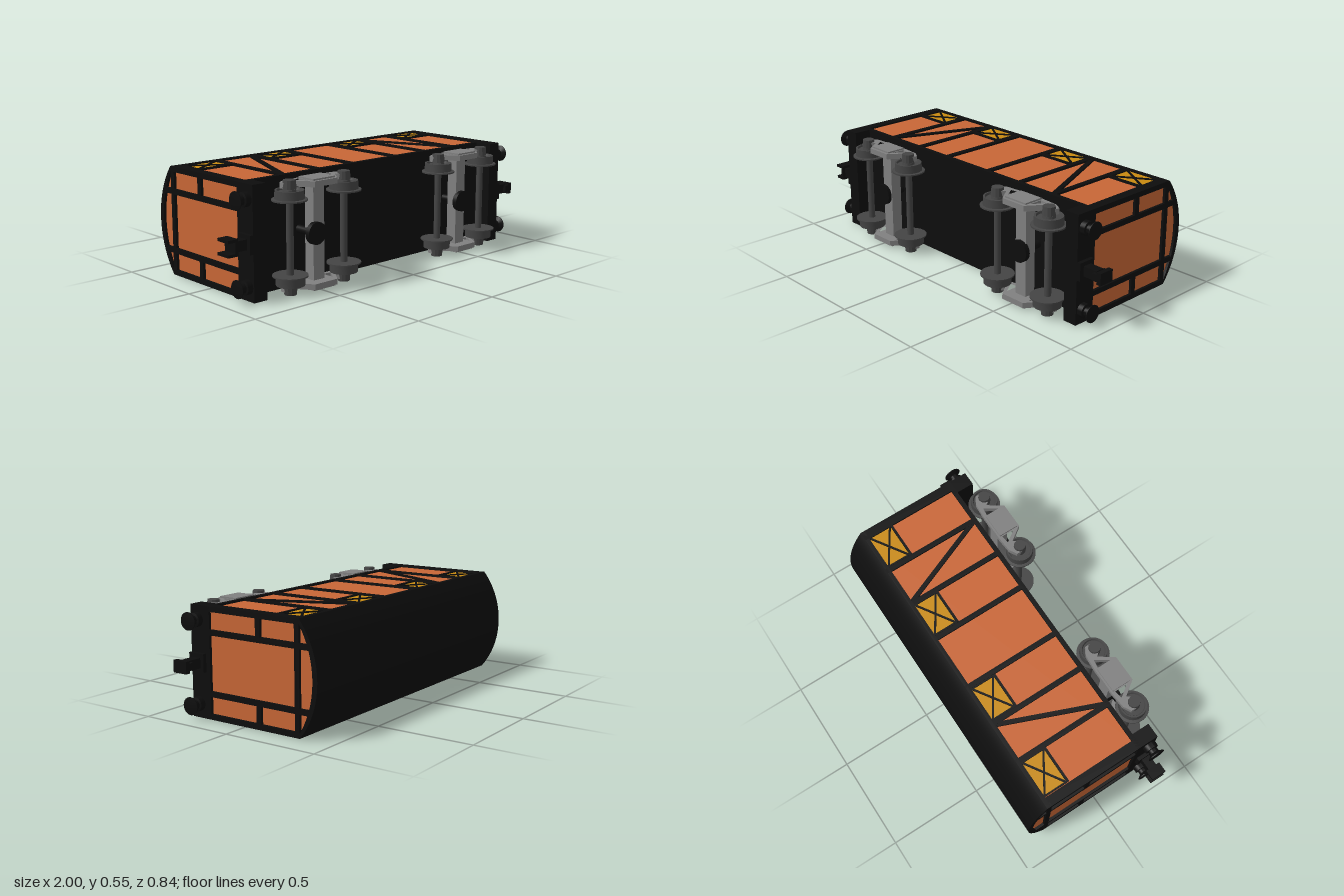
import * as THREE from 'three';
import { toCreasedNormals } from 'three/addons/utils/BufferGeometryUtils.js';

const paint = (color) => new THREE.MeshStandardMaterial({ color });

export function createModel() {
  const black = paint(0x0d0d0d), orange = paint(0xc86636), yellow = paint(0xc88a10);
  const steel = paint(0x808080), iron = paint(0x444444);

  // The wagon is built upright (y up, z across) and then laid on its back.
  const wagon = new THREE.Group();
  wagon.name = 'wagon';

  const add = (parent, name, geometry, material) => {
    const mesh = new THREE.Mesh(geometry, material);
    mesh.name = name;
    parent.add(mesh);
    return mesh;
  };
  const box = (parent, name, material, x0, x1, y0, y1, z0, z1) => {
    const g = new THREE.BoxGeometry(x1 - x0, y1 - y0, Math.abs(z1 - z0));
    return add(parent, name, g.translate((x0 + x1) / 2, (y0 + y1) / 2, (z0 + z1) / 2), material);
  };
  // Flat bar between two points of a side wall
  const brace = (name, x0, y0, x1, y1, z, width) => {
    const g = new THREE.BoxGeometry(Math.hypot(x1 - x0, y1 - y0), width, 0.014);
    g.rotateZ(Math.atan2(y1 - y0, x1 - x0)).translate((x0 + x1) / 2, (y0 + y1) / 2, z);
    return add(wagon, name, g, black);
  };
  // Turned part from [radius, height] pairs, y axis
  const turned = (pts, sides = 32) => toCreasedNormals(
    new THREE.LatheGeometry(pts.map(([r, h]) => new THREE.Vector2(r, h)), sides), 0.6);
  const shapeOf = (pts) => new THREE.Shape(pts.map(([x, y]) => new THREE.Vector2(x, y)));

  const L = 0.866, W = 0.275, BOTTOM = -0.23, EAVES = 0.32;

  // Body core and floor
  box(wagon, 'bodyPanels', orange, -L + 0.014, L - 0.014, BOTTOM + 0.01, EAVES, -W + 0.01, W - 0.01);
  box(wagon, 'floor', black, -L, L, BOTTOM, -0.21, -W, W);

  // Arched roof shell and gable panels
  const arc = (halfWidth, rise) => {
    const r = (halfWidth ** 2 + rise ** 2) / (2 * rise);
    return { r, c: EAVES + rise - r, a: Math.asin(halfWidth / r) };
  };
  const outer = arc(W, 0.1), inner = arc(0.25, 0.073);
  const alongX = (shape, length) => toCreasedNormals(
    new THREE.ExtrudeGeometry(shape, { depth: length, bevelEnabled: false, curveSegments: 28 })
      .translate(0, 0, -length / 2).rotateY(Math.PI / 2), 0.5);
  const roof = new THREE.Shape();
  roof.absarc(0, outer.c, outer.r, Math.PI / 2 - outer.a, Math.PI / 2 + outer.a, false);
  roof.absarc(0, inner.c, inner.r, Math.PI / 2 + inner.a, Math.PI / 2 - inner.a, true);
  add(wagon, 'roof', alongX(roof, 2 * L), black);
  const gable = new THREE.Shape();
  gable.absarc(0, inner.c, inner.r, Math.PI / 2 - inner.a, Math.PI / 2 + inner.a, false);
  add(wagon, 'gablePanels', alongX(gable, 2 * L - 0.028), orange);

  // Side walls: rails, posts, vents with cross bracing, diagonals
  const posts = [-0.5975, -0.3725, -0.15, 0.155, 0.38, 0.605];
  const vents = [[-0.81, -0.61], [-0.36, -0.165], [0.17, 0.37], [0.62, 0.82]];
  for (const s of [-1, 1]) {
    const zIn = s * (W - 0.015), zOut = s * W, zMid = s * (W - 0.008);
    box(wagon, 'topRail', black, -L, L, 0.298, EAVES, zIn, zOut);
    box(wagon, 'bottomRail', black, -L, L, BOTTOM, -0.207, zIn, zOut);
    for (const x of posts) box(wagon, 'sidePost', black, x - 0.0135, x + 0.0135, BOTTOM, EAVES, zIn, zOut);
    for (const [x0, x1] of vents) {
      box(wagon, 'vent', yellow, x0, x1, 0.165, 0.3, zIn, s * (W - 0.007));
      box(wagon, 'ventSill', black, x0, x1, 0.157, 0.17, zIn, zOut);
      brace('ventBrace', x0, 0.17, x1, 0.298, zMid, 0.01);
      brace('ventBrace', x0, 0.298, x1, 0.17, zMid, 0.01);
      for (const x of [x0 + 0.003, x1 - 0.003]) box(wagon, 'ventEdge', black, x - 0.004, x + 0.004, 0.165, 0.3, zIn, zOut);
    }
    brace('diagonal', -0.385, 0.295, -0.59, -0.205, zMid, 0.024);
    brace('diagonal', 0.392, 0.295, 0.6, -0.205, zMid, 0.024);
  }

  // End walls, buffer beams, buffers and couplers
  for (const s of [-1, 1]) {
    const end = new THREE.Group();
    end.name = s > 0 ? 'leftEnd' : 'rightEnd';
    if (s < 0) end.rotation.y = Math.PI;
    wagon.add(end);
    const x0 = L - 0.02;
    box(end, 'bufferBeam', black, 0.79, L, -0.325, -0.21, -W, W);
    box(end, 'endTopRail', black, x0, L, 0.293, EAVES, -W, W);
    for (const t of [-1, 1]) {
      box(end, 'cornerPost', black, 0.815, L, BOTTOM, EAVES, t * 0.248, t * W);
      box(end, 'endPost', black, x0, L, -0.21, 0.37, t * 0.136, t * 0.163);
      box(end, 'endRail', black, x0, L, 0.069, 0.097, t * 0.15, t * 0.26);
      const buffer = turned([[0.035, 0], [0.035, 0.03], [0.024, 0.032], [0.024, 0.05], [0.044, 0.064], [0.044, 0.068], [0, 0.073]], 24);
      buffer.rotateZ(-Math.PI / 2).translate(L - 0.002, -0.283, t * 0.205);
      add(end, 'buffer', buffer, black);
    }
    box(end, 'couplerPlate', black, L, 0.885, -0.325, -0.235, -0.045, 0.045);
    box(end, 'couplerBar', black, L, 0.96, -0.302, -0.255, -0.025, 0.025);
    // Fork at one end, tongue at the other
    if (s < 0) {
      box(end, 'couplerFork', black, 0.945, 0.96, -0.317, -0.237, -0.04, 0.04);
      for (const t of [-1, 1]) box(end, 'forkArm', black, 0.95, 1, -0.317, -0.237, t * 0.026, t * 0.04);
    } else {
      box(end, 'couplerNeck', black, 0.95, 0.98, -0.317, -0.237, -0.018, 0.018);
      box(end, 'couplerTongue', black, 0.975, 1, -0.317, -0.237, -0.03, 0.03);
    }
  }

  // Bogies
  const frameShape = shapeOf([[-0.2, -0.3], [-0.16, -0.277], [-0.07, -0.27], [0.07, -0.27], [0.16, -0.277], [0.2, -0.3],
    [0.2, -0.34], [0.14, -0.34], [0.125, -0.32], [0.07, -0.398], [-0.07, -0.398], [-0.125, -0.32], [-0.14, -0.34], [-0.2, -0.34]]);
  for (const s of [-1, 1]) frameShape.holes.push(new THREE.Path(
    [[0.118, -0.296], [0.074, -0.29], [0.074, -0.362]].map(([x, y]) => new THREE.Vector2(s * x, y))));
  const frameGeometry = new THREE.ExtrudeGeometry(frameShape, { depth: 0.028, bevelEnabled: false }).translate(0, 0, -0.014);
  const wheelGeometry = turned([[0, 0], [0.085, 0], [0.085, 0.007], [0.071, 0.009], [0.069, 0.05],
    [0.06, 0.05], [0.056, 0.04], [0.032, 0.04], [0.03, 0.052], [0, 0.052]]).rotateX(Math.PI / 2);
  const axleGeometry = new THREE.CylinderGeometry(0.0175, 0.0175, 0.5, 20).rotateX(Math.PI / 2);
  const boxGeometry = toCreasedNormals(new THREE.CylinderGeometry(0.03, 0.034, 0.042, 12).rotateX(Math.PI / 2), 0.3);

  for (const [cx, pivotX] of [[-0.49, -0.515], [0.525, 0.525]]) {
    const bogie = new THREE.Group();
    bogie.name = 'bogie';
    bogie.position.x = cx;
    wagon.add(bogie);
    box(bogie, 'bolster', steel, -0.034, 0.034, -0.345, -0.285, -0.245, 0.245);
    const px = pivotX - cx;
    add(bogie, 'pivotPin', new THREE.CylinderGeometry(0.02, 0.02, 0.13, 20).translate(px, -0.285, 0), black);
    add(bogie, 'pivotDisc', new THREE.CylinderGeometry(0.055, 0.055, 0.025, 28).translate(px, -0.352, 0), black);
    for (const x of [-0.17, 0.17]) {
      add(bogie, 'axle', axleGeometry, iron).position.set(x, -0.335, 0);
    }
    for (const s of [-1, 1]) {
      add(bogie, 'sideFrame', frameGeometry, steel).position.z = s * 0.246;
      box(bogie, 'framePad', steel, -0.068, 0.068, -0.385, -0.28, s * 0.25, s * 0.268);
      for (const x of [-0.17, 0.17]) {
        const wheel = add(bogie, 'wheel', wheelGeometry, iron);
        wheel.position.set(x, -0.335, s * 0.177);
        const cap = add(bogie, 'axleBox', boxGeometry, iron);
        cap.position.set(x, -0.335, s * 0.252);
        if (s < 0) wheel.rotation.y = cap.rotation.y = Math.PI;
      }
    }
  }

  wagon.rotation.x = -Math.PI / 2;
  wagon.position.y = W;
  const model = new THREE.Group();
  model.name = 'model';
  model.add(wagon);
  return model;
}
